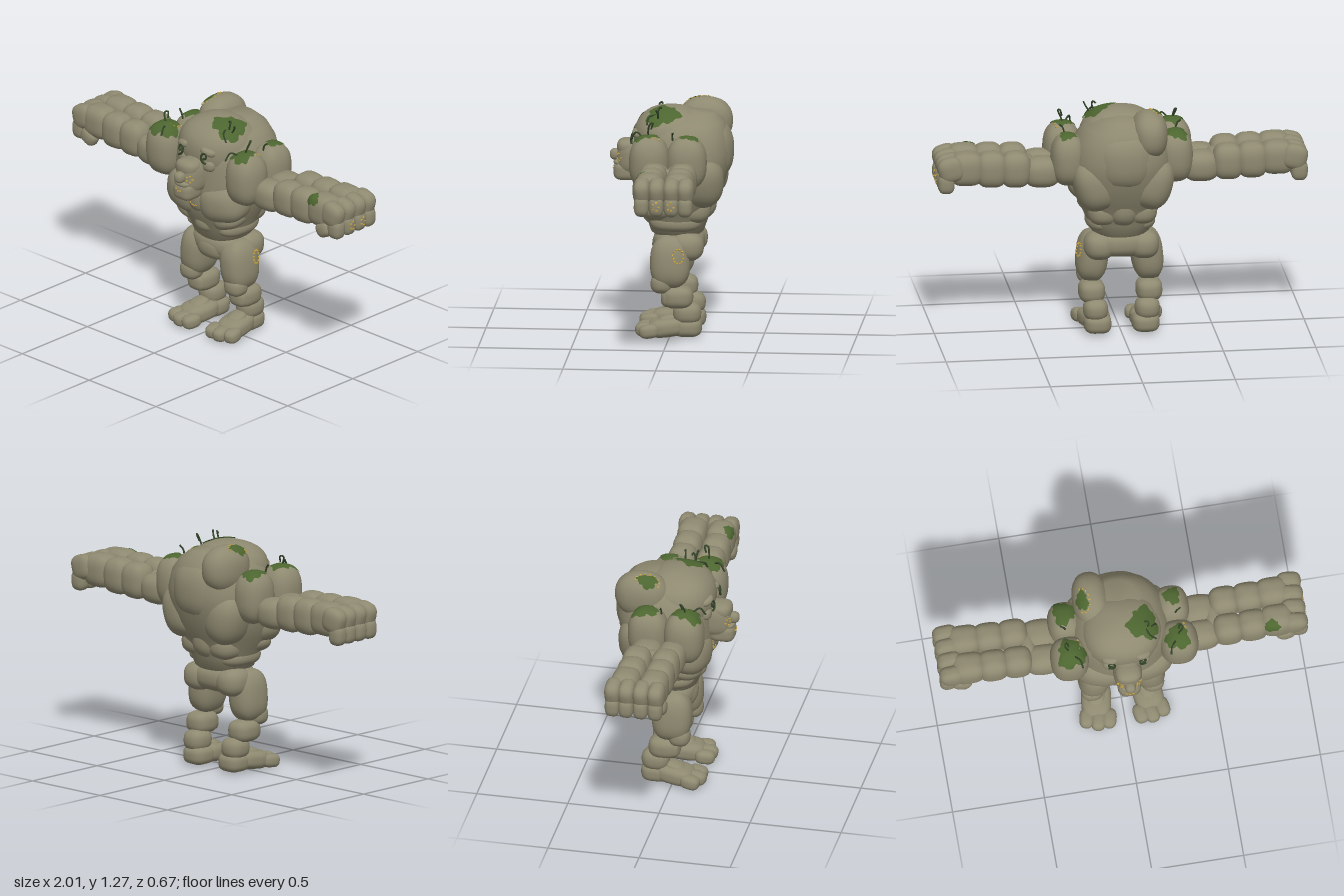
import * as THREE from 'three';
import { mergeVertices } from 'three/addons/utils/BufferGeometryUtils.js';

const mat = (name, color, side = THREE.FrontSide) => {
  const m = new THREE.MeshStandardMaterial({ color, side });
  m.name = name;
  return m;
};
const V = (x, y, z) => new THREE.Vector3(x, y, z);

// Point of a boxy, slightly worn ellipsoid in direction d
function surf(d, r, p) {
  const k = Math.pow(Math.abs(d.x) ** p + Math.abs(d.y) ** p + Math.abs(d.z) ** p, -1 / p);
  const w = 1 - 0.015 * (1 + Math.sin(5 * d.x + 1) * Math.sin(4 * d.y + 2) * Math.cos(5 * d.z));
  return V(d.x * k * w * r[0], d.y * k * w * r[1], d.z * k * w * r[2]);
}

export function createModel() {
  const root = new THREE.Group();
  root.name = 'stoneGolem';
  const stoneMat = mat('stone', 0x8e8970);
  const mossMat = mat('moss', 0x4d6630, THREE.DoubleSide);
  const vineMat = mat('vine', 0x34452a);
  const goldMat = mat('gold', 0xcda63a);

  const add = (name, geo, m) => {
    const mesh = new THREE.Mesh(geo, m);
    mesh.name = name;
    root.add(mesh);
    return mesh;
  };

  // One rounded rock: centre c, radii r, squareness p, rotation
  function rock(name, c, r, p = 2.4, rot = [0, 0, 0]) {
    let g = new THREE.SphereGeometry(1, 28, 20);
    g.deleteAttribute('uv');
    g.deleteAttribute('normal');
    g = mergeVertices(g, 1e-4);
    const a = g.attributes.position;
    for (let i = 0; i < a.count; i++) {
      const q = surf(V().fromBufferAttribute(a, i).normalize(), r, p);
      a.setXYZ(i, q.x, q.y, q.z);
    }
    g.computeVertexNormals();
    const mesh = add(name, g, stoneMat);
    mesh.position.set(...c);
    mesh.rotation.set(...rot);
    return { c: V(...c), r, p };
  }

  // Ragged thin patch of moss lying on a rock
  function moss(name, o, dir, size, phase = 0) {
    const n = V(...dir).normalize();
    const u = V(0, 0, 1).cross(n).normalize(), v = n.clone().cross(u);
    const pos = [], idx = [], R = 6, S = 40;
    for (let i = 0; i <= R; i++) for (let j = 0; j < S; j++) {
      const t = j / S * Math.PI * 2;
      const ang = size * i / R * (1 + 0.14 * Math.sin(3 * t + phase) + 0.1 * Math.sin(7 * t + phase * 2) + 0.05 * Math.sin(13 * t));
      const d = n.clone().multiplyScalar(Math.cos(ang))
        .addScaledVector(u, Math.sin(ang) * Math.cos(t)).addScaledVector(v, Math.sin(ang) * Math.sin(t));
      const q = surf(d, o.r, o.p).multiplyScalar(1.03).add(o.c);
      pos.push(q.x, q.y, q.z);
      if (i < R) {
        const a = i * S + j, b = i * S + (j + 1) % S;
        idx.push(a, a + S, b + S, a, b + S, b);
      }
    }
    const g = new THREE.BufferGeometry();
    g.setAttribute('position', new THREE.Float32BufferAttribute(pos, 3));
    g.setIndex(idx);
    g.computeVertexNormals();
    add(name, g, mossMat);
  }

  const vine = (name, pts, r = 0.005) => add(name,
    new THREE.TubeGeometry(new THREE.CatmullRomCurve3(pts.map(p => V(...p))), 20, r, 6), vineMat);

  // Row of gold flecks on a rock, around direction dir
  function flecks(o, dir, size, from, to, n) {
    const d0 = V(...dir).normalize();
    const u = V(0.1, 0.2, 1).cross(d0).normalize(), v = d0.clone().cross(u);
    for (let i = 0; i < n; i++) {
      const t = from + (to - from) * i / n;
      const d = d0.clone().addScaledVector(u, size * Math.cos(t)).addScaledVector(v, size * Math.sin(t)).normalize();
      const m = add('goldFleck', new THREE.BoxGeometry(0.011, 0.006, 0.008), goldMat);
      m.position.copy(surf(d, o.r, o.p)).add(o.c);
      m.lookAt(m.position.clone().add(d));
    }
  }

  // Torso core lofted from rows of [y, half width, front z, back z]
  const rows = [
    [0.52, 0.10, 0.07, -0.13], [0.56, 0.155, 0.11, -0.175], [0.62, 0.18, 0.13, -0.195], [0.68, 0.205, 0.16, -0.215],
    [0.74, 0.235, 0.18, -0.245], [0.82, 0.262, 0.19, -0.285], [0.92, 0.27, 0.19, -0.315], [1.0, 0.265, 0.185, -0.325],
    [1.09, 0.245, 0.18, -0.31], [1.16, 0.19, 0.14, -0.28], [1.205, 0.11, 0.05, -0.23], [1.22, 0.002, -0.08, -0.09],
  ];
  const tp = [], ti = [], S = 40;
  rows.forEach(([y, w, f, b], i) => {
    for (let j = 0; j < S; j++) {
      const t = j / S * Math.PI * 2, c = Math.cos(t), s = Math.sin(t);
      const k = Math.pow(Math.abs(c) ** 2.4 + Math.abs(s) ** 2.4, -1 / 2.4);
      tp.push(w * k * s, y, (f + b) / 2 + (f - b) / 2 * k * c);
      if (i < rows.length - 1) {
        const a = i * S + j, n = i * S + (j + 1) % S;
        ti.push(a, n, n + S, a, n + S, a + S);
      }
    }
  });
  const tg = new THREE.BufferGeometry();
  tg.setAttribute('position', new THREE.Float32BufferAttribute(tp, 3));
  tg.setIndex(ti);
  tg.computeVertexNormals();
  add('torso', tg, stoneMat);

  // Torso rocks
  const crown = rock('crown', [0, 1.07, 0.0], [0.22, 0.17, 0.205], 2.3);
  const hump = rock('backHump', [-0.14, 1.13, -0.17], [0.1, 0.13, 0.15], 2.3);
  rock('upperBack', [0, 1.0, -0.2], [0.17, 0.17, 0.137], 2.4);
  rock('lowerBack', [0, 0.72, -0.13], [0.09, 0.11, 0.115]);
  const chest = rock('breastbone', [0, 0.8, 0.1], [0.09, 0.1, 0.1]);
  rock('pelvis', [0, 0.5, -0.04], [0.185, 0.085, 0.14], 2.5);
  rock('beltFront', [0, 0.48, 0.03], [0.11, 0.07, 0.075]);
  rock('belly', [0, 0.645, 0.07], [0.075, 0.06, 0.085]);

  // Head: muzzle, brow, nose and jaw
  const muzzle = rock('head', [0, 0.955, 0.19], [0.078, 0.1, 0.105], 3);
  rock('brow', [0, 1.01, 0.235], [0.07, 0.045, 0.06], 2.6);
  rock('nose', [0, 0.965, 0.3], [0.03, 0.032, 0.034]);
  const jaw = rock('jaw', [0, 0.878, 0.24], [0.064, 0.052, 0.073], 3.5);
  rock('upperLip', [0, 0.925, 0.28], [0.05, 0.018, 0.033]);
  flecks(muzzle, [0.6, 0.05, 0.8], 0.18, 0, 6, 5);
  flecks(muzzle, [-0.6, 0.05, 0.8], 0.18, 0, 6, 5);
  flecks(chest, [0, 0.05, 1], 0.4, Math.PI, Math.PI * 2, 7);
  flecks(jaw, [0, 0.5, 1], 0.3, 0, 3, 3);

  for (const s of [1, -1]) {
    const side = s > 0 ? 'left' : 'right';
    const R = (n, x, y, z, r, p, rot = [0, 0, 0]) =>
      rock(side + n, [s * x, y, z], r, p, [rot[0], s * rot[1], s * rot[2]]);

    // Chest, flank and back slabs
    R('Pec', 0.125, 0.795, 0.085, [0.145, 0.115, 0.115], 2.5, [0, 0.2, 0.15]);
    R('Rib', 0.13, 0.69, 0.05, [0.09, 0.06, 0.1], 2.4, [0, 0.2, 0.3]);
    R('Flank', 0.1, 0.62, -0.03, [0.09, 0.055, 0.14], 2.4);
    R('Lat', 0.155, 0.86, -0.17, [0.115, 0.15, 0.125], 2.4, [0, 0, -0.25]);
    R('Loin', 0.1, 0.69, -0.12, [0.09, 0.075, 0.1]);

    // Eye socket with creeper around the eye
    R('EyeBrow', 0.085, 1.1, 0.16, [0.05, 0.025, 0.045], 2.4, [0, 0.3, -0.2]);
    R('Cheek', 0.085, 1.02, 0.165, [0.045, 0.035, 0.035]);
    vine('eyeCreeper', [[s * 0.1, 1.04, 0.205], [s * 0.075, 1.055, 0.212], [s * 0.07, 1.085, 0.208],
      [s * 0.09, 1.1, 0.2], [s * 0.1, 1.075, 0.205], [s * 0.08, 1.065, 0.21]], 0.006);

    // Shoulder and upper arm
    const front = R('ShoulderFront', 0.298, 0.985, 0.095, [0.105, 0.15, 0.11], 2.5);
    const rear = R('ShoulderRear', 0.29, 0.985, -0.105, [0.095, 0.145, 0.11], 2.5);
    for (const [z, r] of [[0.05, 0.08], [-0.085, 0.09]]) R('UpperArm', 0.43, 0.915, z, [0.105, 0.085, r], 2.6);
    R('Elbow', 0.505, 0.92, -0.03, [0.05, 0.075, 0.11]);

    // Forearm and back of the hand, two lanes of rocks
    let wrist;
    for (const [z, r] of [[0.05, 0.078], [-0.105, 0.08]]) {
      R('Forearm', 0.575, 0.94, z, [0.085, 0.1, r], 2.8);
      R('Forearm', 0.705, 0.945, z, [0.088, 0.1, r], 2.8);
      const w = R('Hand', 0.84, 0.955, z - 0.003, [0.095, 0.093, r], 3);
      wrist ??= w;
    }
    // Curled fingers and thumb
    let tip;
    [0.08, 0.0, -0.08, -0.155].forEach((z, i) => {
      R('Knuckle', 0.93, 0.965, z, [0.07, 0.07, 0.047], 2.8, [0, 0, -0.25]);
      tip = R('Fingertip', 0.955, 0.89, z, [0.046, 0.058, 0.041], 2.8);
      if (s > 0 && (i === 1 || i === 2)) flecks(tip, [1, 0.1, 0], 0.4, 0, 6, 5);
    });
    R('Thumb', 0.88, 0.868, 0.09, [0.055, 0.045, 0.038], 2.6, [0, 0, 0.5]);

    // Leg
    const thigh = R('Thigh', 0.148, 0.41, -0.005, [0.088, 0.145, 0.11], 2.6, [0, 0, 0.1]);
    R('Hip', 0.12, 0.49, -0.09, [0.085, 0.08, 0.095]);
    R('Knee', 0.165, 0.295, 0.04, [0.062, 0.055, 0.06], 2.5);
    R('Calf', 0.155, 0.22, -0.045, [0.072, 0.062, 0.085], 2.8);
    R('ShinPlate', 0.155, 0.215, 0.0, [0.06, 0.05, 0.045], 2.8);
    R('Ankle', 0.14, 0.13, -0.095, [0.068, 0.062, 0.077], 2.5);
    R('Heel', 0.13, 0.052, -0.095, [0.075, 0.053, 0.08], 3);
    R('Foot', 0.138, 0.052, 0.01, [0.082, 0.053, 0.11], 3, [0.12, 0.15, 0]);
    R('Instep', 0.14, 0.09, 0.01, [0.05, 0.03, 0.06], 2.4, [0.25, 0.15, 0]);
    [[0.085, 0.125], [0.145, 0.13], [0.205, 0.105]].forEach(([x, z]) =>
      R('Toe', x, 0.038, z, [0.04, 0.038, 0.055], 2.7, [0.1, 0.2, 0]));

    // Moss and sprouts on the shoulders
    moss(side + 'ShoulderMoss', front, [s * -0.1, 1, 0.2], s > 0 ? 0.6 : 0.72, s);
    moss(side + 'RearMoss', rear, [s * 0.05, 1, -0.15], s > 0 ? 0.45 : 0.62, 2 * s);
    flecks(front, [s * -0.1, 1, -0.3], 0.5, 2, 4, 4);
    vine('shoulderSprout', [[s * 0.29, 1.12, 0.1], [s * 0.305, 1.16, 0.1], [s * 0.32, 1.2, 0.09],
      [s * 0.31, 1.205, 0.075], [s * 0.3, 1.17, 0.085]].map(p => s > 0 ? p : [p[0], p[1] - 0.02, p[2]]));
    vine('shoulderSprout', [[s * 0.28, 1.12, 0.13], [s * 0.25, 1.14, 0.17], [s * 0.24, 1.1, 0.2]]);
    vine('rearSprout', [[s * 0.3, 1.11, -0.03], [s * 0.31, 1.14, -0.03], [s * 0.33, 1.16, -0.035]]);
    if (s > 0) {
      moss('handMoss', wrist, [-0.35, 0.7, 0.7], 0.4, 1);
      flecks(thigh, [1, 0.35, -0.5], 0.25, 0, 6.28, 12);
    }
  }

  // Moss on the crown and hump
  moss('crownMoss', crown, [0.55, 0.85, 0.2], 0.42, 0.5);
  moss('humpMoss', hump, [-0.5, 0.8, 0.25], 0.35, 1);
  flecks(hump, [-0.5, 0.8, 0.25], 0.45, 1, 5, 9);
  vine('crownSprout', [[0.13, 1.2, 0.06], [0.14, 1.235, 0.06], [0.135, 1.255, 0.05], [0.12, 1.245, 0.045]]);
  vine('crownSprout', [[0.15, 1.19, 0.06], [0.17, 1.22, 0.06], [0.185, 1.25, 0.07]]);
  vine('crownSprout', [[0.12, 1.21, 0.07], [0.14, 1.2, 0.11], [0.17, 1.16, 0.12]]);

  return root;
}
